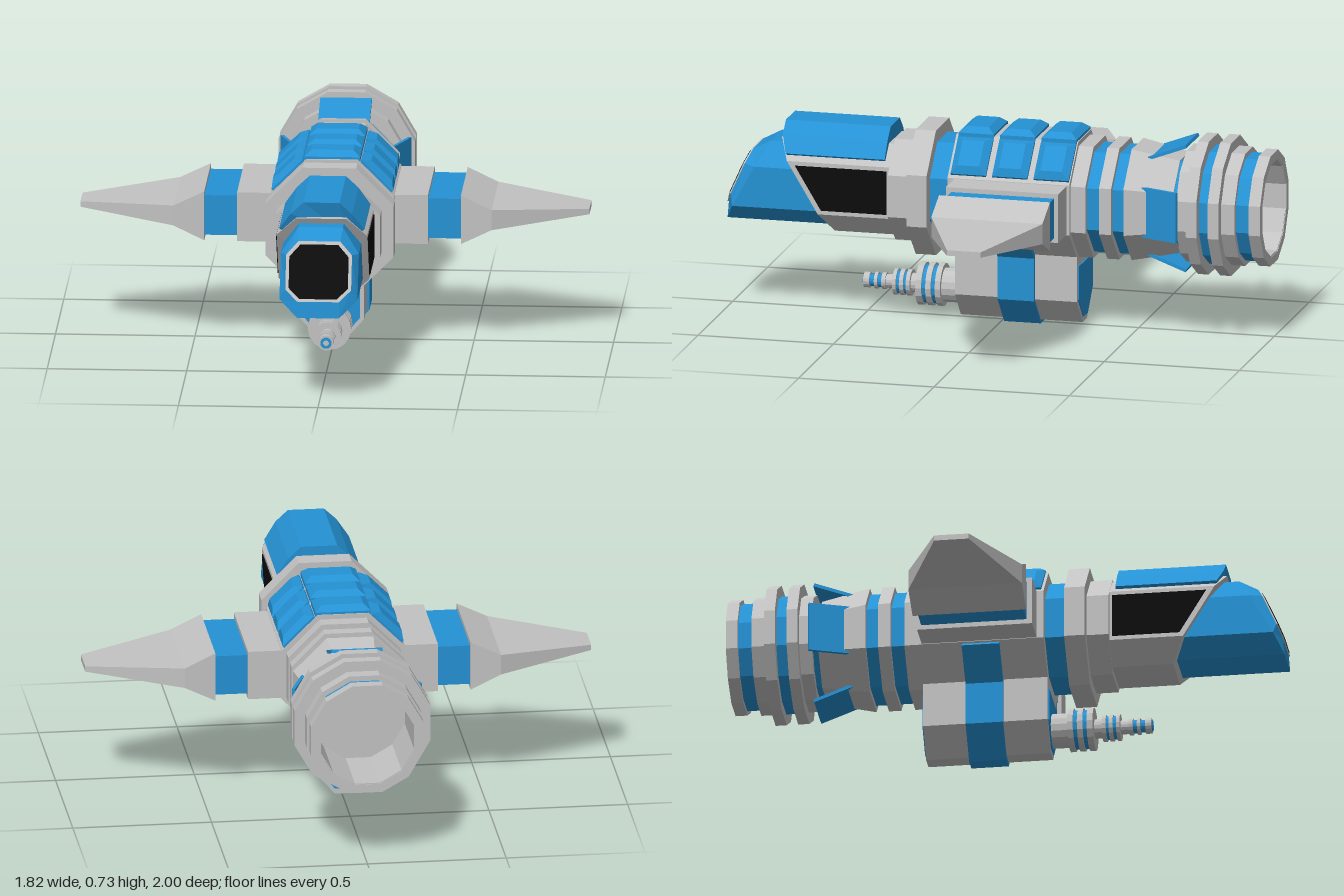
import * as THREE from 'three';

const CY = 0.475; // height of the fuselage axis

export function createModel() {
  const root = new THREE.Group();
  root.name = 'spacecraft';
  const mat = (name, color) => {
    const m = new THREE.MeshStandardMaterial({ color });
    m.name = name;
    return m;
  };
  const grey = mat('hull grey', 0xc2c2c2);
  const blue = mat('panel blue', 0x2592d4);
  const black = mat('window black', 0x0c0c0c);

  const add = (name, geo, material, parent = root) => {
    const g = geo.index ? geo.toNonIndexed() : geo;
    g.computeVertexNormals(); // faceted
    const mesh = new THREE.Mesh(g, material);
    mesh.name = name;
    parent.add(mesh);
    return mesh;
  };

  // Closed solid through rings of [x, y, z] points, turned outward by its signed volume
  const loft = (rings) => {
    const tris = [];
    const n = rings[0].length;
    for (let r = 0; r + 1 < rings.length; r++) {
      for (let i = 0; i < n; i++) {
        const j = (i + 1) % n, A = rings[r], B = rings[r + 1];
        tris.push([A[i], A[j], B[j]], [A[i], B[j], B[i]]);
      }
    }
    const first = rings[0], last = rings[rings.length - 1];
    for (let i = 1; i + 1 < n; i++) {
      tris.push([first[0], first[i + 1], first[i]], [last[0], last[i], last[i + 1]]);
    }
    const v = (p) => new THREE.Vector3(...p);
    let vol = 0;
    for (const [a, b, c] of tris) vol += v(a).dot(v(b).cross(v(c)));
    const pos = tris.flatMap(([a, b, c]) => (vol < 0 ? [a, c, b] : [a, b, c])).flat();
    const geo = new THREE.BufferGeometry();
    geo.setAttribute('position', new THREE.Float32BufferAttribute(pos, 3));
    return geo;
  };

  // Mirror a half section of [x, y] points, bottom to top; z may depend on y
  const section = (half, z) => {
    const zf = typeof z === 'function' ? z : () => z;
    return [...half, ...half.map(([x, y]) => [-x, y]).reverse()].map(([x, y]) => [x, y, zf(y)]);
  };
  const octagon = (a, z) => {
    const s = a * Math.tan(Math.PI / 8);
    return section([[s, CY - a], [a, CY - s], [a, CY + s], [s, CY + a]], z);
  };
  const octBody = (name, a0, z0, a1, z1, m) => add(name, loft([octagon(a0, z0), octagon(a1, z1)]), m);

  // Fuselage from front to back
  octBody('fuselageCore', 0.184, 0.31, 0.184, -0.52, blue);
  octBody('neckCollar', 0.186, 0.38, 0.186, 0.3, grey);
  octBody('frontCollar', 0.23, 0.3, 0.23, 0.225, grey);
  octBody('midHull', 0.222, 0.15, 0.222, -0.3, grey);
  octBody('rearRibA', 0.205, -0.3, 0.205, -0.355, grey);
  octBody('rearRibB', 0.205, -0.405, 0.205, -0.45, grey);
  octBody('rearTaper', 0.205, -0.495, 0.17, -0.67, grey);
  octBody('engineNeck', 0.165, -0.6, 0.165, -0.72, blue);

  // Nose with a slanted front window
  const noseHalf = [[0.075, 0.33], [0.14, 0.39], [0.14, 0.54], [0.08, 0.625]];
  const capHalf = [[0.075, 0.39], [0.118, 0.43], [0.118, 0.545], [0.075, 0.59]];
  const capZ = (y) => 1 - (y - 0.39) * 0.45;
  add('nose', loft([
    section(noseHalf, 0.55),
    section(noseHalf, (y) => 1 - (y - 0.33) * 0.55),
    section(capHalf, (y) => capZ(y) - 0.005),
  ]), blue);
  const plate = (k, d) => {
    const h = capHalf.map(([x, y]) => [x * k, 0.49 + (y - 0.49) * k]);
    return loft([section(h, (y) => capZ(y) - 0.005), section(h, (y) => capZ(y) + d)]);
  };
  add('frontWindowFrame', plate(1, 0), grey);
  add('frontWindow', plate(0.9, 0.004), black);

  // Cockpit, raked at the front, with canopy and side windows
  const rake = (y) => Math.min(0.795, 0.6 + (y - 0.31) * 0.6);
  const cabin = [[0.09, 0.31], [0.162, 0.385], [0.162, 0.575], [0.09, 0.645]];
  add('cockpit', loft([section(cabin, 0.37), section(cabin, rake)]), grey);
  const canopy = [[0.1, 0.56], [0.153, 0.6], [0.11, 0.66], [0.065, 0.702]];
  add('canopy', loft([section(canopy, 0.4), section(canopy, (y) => Math.min(0.79, rake(y) - 0.008))]), blue);
  for (const s of [-1, 1]) {
    const pane = (x) => [[0.39, 0.4], [0.632, 0.4], [0.728, 0.56], [0.39, 0.56]].map(([z, y]) => [s * x, y, z]);
    add('sideWindow', loft([pane(0.158), pane(0.166)]), black);
  }

  // Bevelled blocks over the back, three rows on three facets
  const rect = (w, d, y) => [[-w, y, -d], [w, y, -d], [w, y, d], [-w, y, d]];
  for (const turn of [-1, 0, 1]) {
    const facet = new THREE.Group();
    facet.name = 'backPanels';
    facet.position.y = CY;
    facet.rotation.z = turn * Math.PI / 4;
    root.add(facet);
    const w = turn ? 0.078 : 0.1;
    for (const z of [0.075, -0.078, -0.231]) {
      const block = add('backPanel', loft([
        rect(w, 0.065, 0.2), rect(w, 0.065, 0.23), rect(w - 0.025, 0.04, 0.25),
      ]), blue, facet);
      block.position.z = z;
    }
  }

  // Tilted flaps ahead of the engine
  for (let i = 0; i < 4; i++) {
    const arm = new THREE.Group();
    arm.name = 'engineFlap';
    arm.position.y = CY;
    arm.rotation.z = i * Math.PI / 2;
    root.add(arm);
    const flap = add('flapPlate', new THREE.BoxGeometry(0.185, 0.012, 0.148), blue, arm);
    flap.position.set(0, 0.203, -0.628);
    flap.rotation.x = 0.36;
  }

  // Ring with a square profile around a lengthwise axis
  const ring = (name, ri, ro, z0, z1, sides, y, m) => {
    const k = 1 / Math.cos(Math.PI / sides);
    const pts = [[ri, z0], [ro, z0], [ro, z1], [ri, z1], [ri, z0]].map(([r, z]) => new THREE.Vector2(r * k, z));
    const geo = new THREE.LatheGeometry(pts, sides, Math.PI / sides);
    geo.rotateX(Math.PI / 2);
    geo.translate(0, y, 0);
    return add(name, geo, m);
  };

  // Engine: hollow nozzle with raised bands
  const bands = [
    [0.205, -0.735, -0.69, grey], [0.245, -0.775, -0.735, grey], [0.207, -0.817, -0.775, blue],
    [0.245, -0.857, -0.817, grey], [0.207, -0.907, -0.857, grey], [0.188, -0.957, -0.907, blue],
    [0.203, -1, -0.957, grey],
  ];
  for (const [r, z0, z1, m] of bands) ring('engineBand', 0.172, r, z0, z1, 12, CY, m);
  ring('nozzleLiner', 0.168, 0.174, -0.998, -0.7, 12, CY, grey);
  ring('nozzleFloor', 0.0001, 0.19, -0.73, -0.695, 12, CY, grey);

  // Wings
  const slab = (x, y, z0, z1) => [[x, CY - y, z0], [x, CY + y, z0], [x, CY + y, z1], [x, CY - y, z1]];
  for (const s of [-1, 1]) {
    const wing = new THREE.Group();
    wing.name = s > 0 ? 'leftWing' : 'rightWing';
    root.add(wing);
    const part = (name, list, m) => add(name, loft(list.map(([x, ...r]) => slab(s * x, ...r))), m, wing);
    part('wingRoot', [[0.18, 0.09, -0.29, 0.125], [0.342, 0.09, -0.29, 0.125]], grey);
    part('wingJoint', [[0.33, 0.073, -0.275, 0.105], [0.47, 0.073, -0.275, 0.105]], blue);
    part('wingBlade', [
      [0.46, 0.09, -0.29, 0.12], [0.57, 0.037, -0.29, 0.12], [0.912, 0.01, -0.15, -0.025],
    ], grey);
  }

  // Belly pod with a blue strap and end plates
  const pod = [[0.03, 0.015], [0.115, 0.11], [0.115, 0.28]];
  const strap = [[0.03, 0], [0.125, 0.105], [0.125, 0.28]];
  const end = [[0.03, 0.035], [0.1, 0.115], [0.1, 0.238]];
  add('bellyPod', loft([section(pod, 0.15), section(pod, -0.3)]), grey);
  add('podStrap', loft([section(strap, -0.01), section(strap, -0.145)]), blue);
  add('podFrontPlate', loft([section(end, 0.145), section(end, 0.154)]), blue);
  add('podBackPlate', loft([section(end, -0.295), section(end, -0.304)]), blue);
  for (const s of [-1, 1]) {
    const p = add('hullStrap', new THREE.BoxGeometry(0.17, 0.03, 0.135), blue);
    p.position.set(s * 0.158, CY - 0.158, -0.0775);
    p.rotation.z = s * Math.PI / 4;
  }

  // Cannon: stack of stepped cylinders, [radius, back, front, material]
  const steps = [
    [0.062, 0.15, 0.215, grey], [0.078, 0.215, 0.235, grey], [0.07, 0.235, 0.25, blue],
    [0.078, 0.25, 0.27, grey], [0.07, 0.27, 0.285, blue], [0.078, 0.285, 0.307, grey],
    [0.035, 0.307, 0.335, grey], [0.048, 0.335, 0.35, grey], [0.042, 0.35, 0.36, blue],
    [0.048, 0.36, 0.375, grey], [0.042, 0.375, 0.387, blue], [0.048, 0.387, 0.4, grey],
    [0.025, 0.4, 0.43, grey], [0.03, 0.43, 0.445, grey], [0.024, 0.445, 0.46, blue],
    [0.03, 0.46, 0.472, grey], [0.022, 0.472, 0.49, blue], [0.028, 0.49, 0.512, grey],
  ];
  for (const [r, z0, z1, m] of steps) {
    const geo = new THREE.CylinderGeometry(r, r, z1 - z0, 16);
    geo.rotateX(Math.PI / 2);
    geo.translate(0, 0.113, (z0 + z1) / 2);
    add('cannonStep', geo, m);
  }
  ring('muzzleRing', 0.01, 0.02, 0.505, 0.515, 12, 0.113, blue);

  return root;
}
